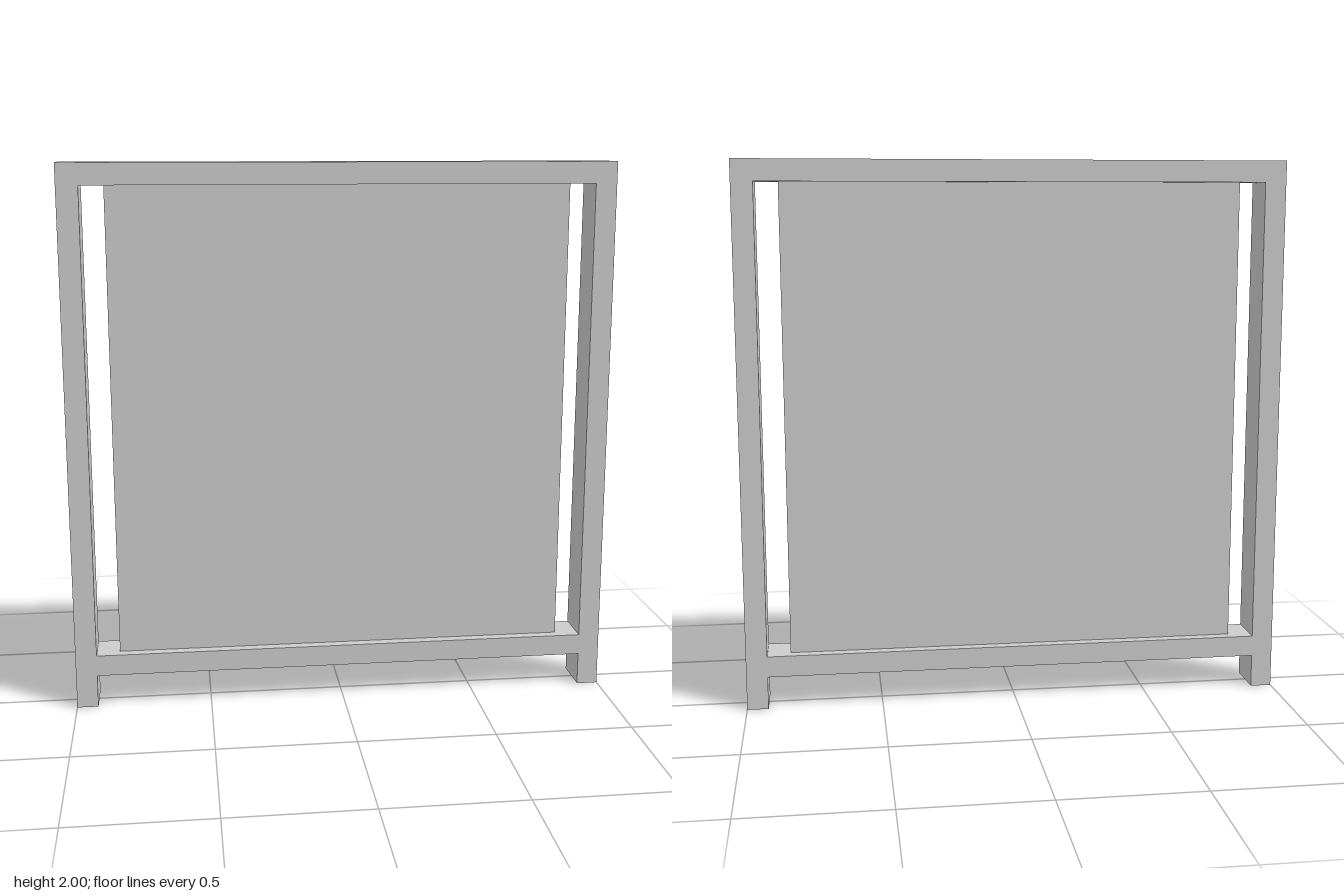
import * as THREE from 'three';

export function createModel() {
  const group = new THREE.Group();
  const material = new THREE.MeshStandardMaterial({ color: 0xcccccc });

  const W = 1;          // half width
  const BAR = 0.078;    // bar width seen from the front
  const DEPTH = 0.156;  // frame depth
  const INNER = W - BAR;
  const RAIL_LOW = 0.122, RAIL_TOP = RAIL_LOW + BAR, HEAD = 2 - BAR;

  // Frame: one outline with feet, extruded around the opening
  const outline = new THREE.Shape([
    [-W, 0], [-INNER, 0], [-INNER, RAIL_LOW], [INNER, RAIL_LOW],
    [INNER, 0], [W, 0], [W, 2], [-W, 2],
  ].map(([x, y]) => new THREE.Vector2(x, y)));
  outline.holes.push(new THREE.Path([
    [-INNER, RAIL_TOP], [-INNER, HEAD], [INNER, HEAD], [INNER, RAIL_TOP],
  ].map(([x, y]) => new THREE.Vector2(x, y))));
  const frameGeometry = new THREE.ExtrudeGeometry(outline, { depth: DEPTH, bevelEnabled: false });
  frameGeometry.translate(0, 0, -DEPTH / 2);
  const frame = new THREE.Mesh(frameGeometry, material);
  frame.name = 'frame';
  group.add(frame);

  // Infill panel between the rails, with a gap at each post
  const panel = new THREE.Mesh(new THREE.BoxGeometry(2 * 0.837, HEAD - RAIL_TOP, DEPTH / 2), material);
  panel.position.y = (HEAD + RAIL_TOP) / 2;
  panel.name = 'panel';
  group.add(panel);

  return group;
}
